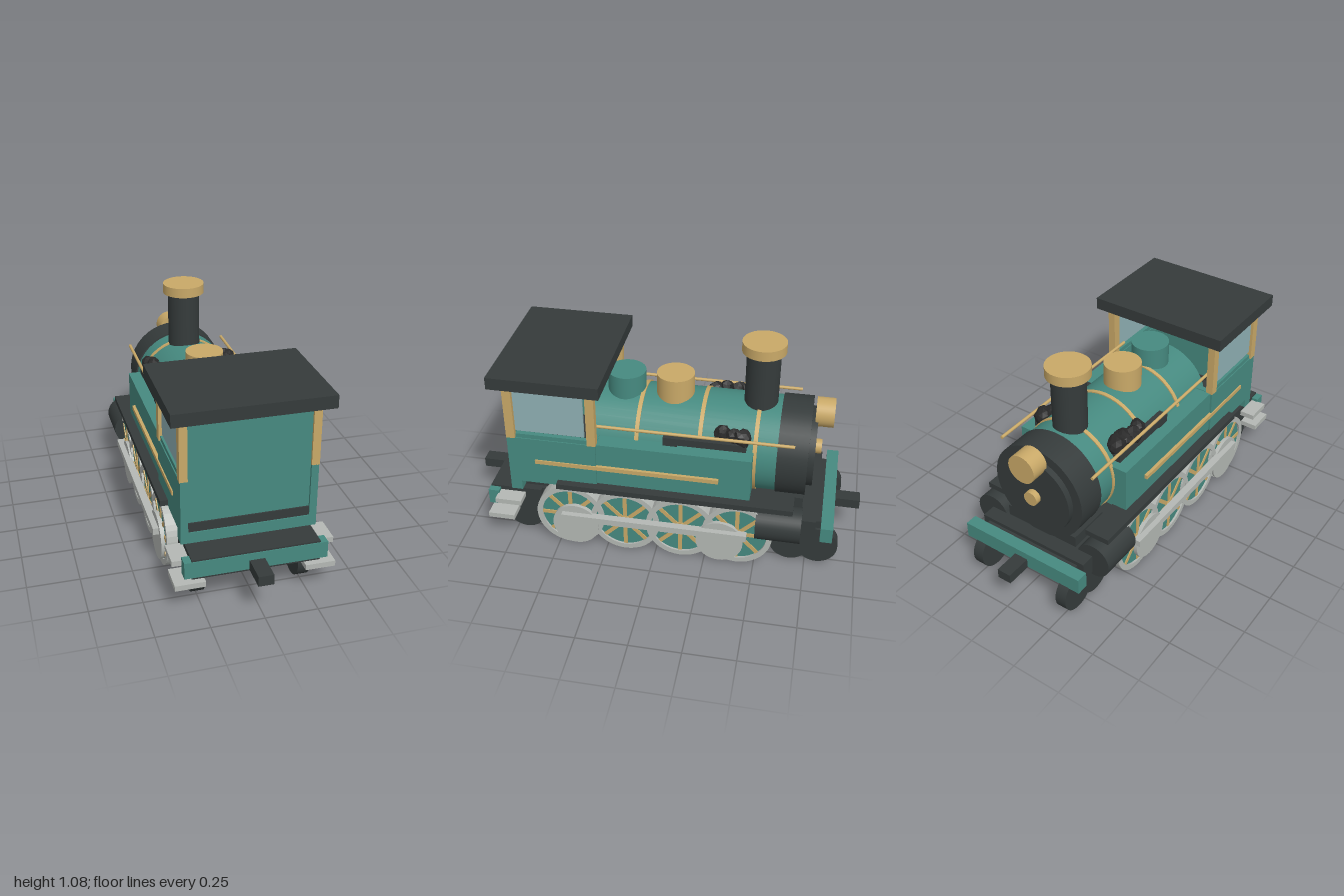
import * as THREE from 'three';

const mat = (color) => new THREE.MeshStandardMaterial({ color });

export function createModel() {
  const root = new THREE.Group();
  const teal = mat(0x468a80), dark = mat(0x353b3b), gold = mat(0xc9a968);
  const steel = mat(0xb4b8b4), glass = mat(0x8fb0b4), coal = mat(0x2a2a2a);

  function add(name, geometry, material, parent = root) {
    const mesh = new THREE.Mesh(geometry, material);
    mesh.name = name;
    parent.add(mesh);
    return mesh;
  }
  // Box given by its ranges
  function box(name, material, x0, x1, y0, y1, z0, z1, parent) {
    const m = add(name, new THREE.BoxGeometry(Math.abs(x1 - x0), y1 - y0, z1 - z0), material, parent);
    m.position.set((x0 + x1) / 2, (y0 + y1) / 2, (z0 + z1) / 2);
    return m;
  }
  // Cylinder lying along z
  function drumZ(name, material, r, x, y, z0, z1) {
    const g = new THREE.CylinderGeometry(r, r, z1 - z0, 40).rotateX(Math.PI / 2);
    const m = add(name, g, material);
    m.position.set(x, y, (z0 + z1) / 2);
    return m;
  }
  // Cylinder lying along x
  function drumX(name, material, r, x0, x1, y, z, parent) {
    const g = new THREE.CylinderGeometry(r, r, Math.abs(x1 - x0), 36).rotateZ(Math.PI / 2);
    const m = add(name, g, material, parent);
    m.position.set((x0 + x1) / 2, y, z);
    return m;
  }
  function drumY(name, material, r, y0, y1, z) {
    const m = add(name, new THREE.CylinderGeometry(r, r, y1 - y0, 40), material);
    m.position.set(0, (y0 + y1) / 2, z);
    return m;
  }

  // Underframe, end decks, buffer beams and couplers
  box('underframe', dark, -0.28, 0.28, 0.14, 0.27, -0.62, 0.62);
  box('rearDeck', dark, -0.3, 0.3, 0.17, 0.27, 0.6, 0.866);
  box('frontDeck', dark, -0.3, 0.3, 0.17, 0.27, -0.79, -0.6);
  box('frontDeckTongue', dark, -0.265, 0.265, 0.17, 0.25, -0.83, -0.78);
  box('rearBufferBeam', teal, -0.335, 0.335, 0.18, 0.262, 0.815, 0.87);
  box('frontBufferBeam', teal, -0.335, 0.335, 0.18, 0.262, -0.875, -0.815);
  box('rearCoupler', dark, -0.036, 0.036, 0.177, 0.227, 0.8, 1);
  box('frontCoupler', dark, -0.036, 0.036, 0.177, 0.227, -1, -0.8);

  // Boiler, bands and smokebox
  const by = 0.515;
  drumZ('boiler', teal, 0.242, 0, by, -0.58, 0.36);
  for (const z of [-0.465, -0.195, 0.115]) drumZ('boilerBand', gold, 0.248, 0, by, z - 0.01, z + 0.01);
  drumZ('smokebox', dark, 0.25, 0, by, -0.72, -0.572);
  drumZ('smokeboxDoor', dark, 0.2, 0, by, -0.75, -0.71);
  drumZ('doorKnob', gold, 0.037, 0, by, -0.78, -0.74);
  drumZ('headlamp', gold, 0.073, 0, 0.72, -0.825, -0.735);
  box('smokeboxSaddle', dark, -0.2, 0.2, 0.25, 0.33, -0.715, -0.5);

  // Chimney and domes
  drumY('chimney', dark, 0.083, 0.7, 1.035, -0.465);
  drumY('chimneyCap', gold, 0.107, 1.03, 1.08, -0.465);
  drumY('sandDome', gold, 0.094, 0.7, 0.863, -0.04);
  drumY('steamDome', teal, 0.095, 0.7, 0.855, 0.205);

  // Cab
  box('cabRoof', dark, -0.37, 0.37, 0.895, 0.957, 0.258, 0.803);
  box('cabBackWall', teal, -0.3, 0.3, 0.375, 0.897, 0.7, 0.735);
  box('cabBackSill', dark, -0.29, 0.29, 0.325, 0.38, 0.69, 0.742);
  box('cabFloor', dark, -0.3, 0.3, 0.33, 0.36, 0.31, 0.7);
  box('cabRearBeam', teal, -0.32, 0.32, 0.28, 0.335, 0.69, 0.747);
  box('cabFrontWall', teal, -0.3, 0.3, 0.335, 0.6, 0.3, 0.33);
  box('underCabFrame', dark, -0.26, 0.26, 0.26, 0.335, 0.3, 0.7);

  // Spoked driving wheel, built along x
  const rimProfile = [[0.148, -0.037], [0.175, -0.037], [0.175, 0.037], [0.148, 0.037], [0.148, -0.037]]
    .map(([r, h]) => new THREE.Vector2(r, h));
  function drivingWheel(side, z) {
    const wheel = new THREE.Group();
    wheel.name = 'drivingWheel';
    const rim = new THREE.LatheGeometry(rimProfile, 40).toNonIndexed();
    rim.computeVertexNormals();
    add('wheelRim', rim.rotateZ(Math.PI / 2), steel, wheel);
    drumX('wheelDisc', teal, 0.152, -0.026, 0.026, 0, 0, wheel);
    for (let i = 0; i < 4; i++) {
      const spoke = add('wheelSpokes', new THREE.BoxGeometry(0.062, 0.3, 0.02), gold, wheel);
      spoke.rotation.x = (i * Math.PI) / 4;
    }
    drumX('wheelHub', gold, 0.03, -0.034, 0.034, 0, 0, wheel);
    wheel.position.set(side * 0.315, 0.175, z);
    root.add(wheel);
  }

  // Everything that repeats on both sides
  for (const s of [1, -1]) {
    box('cabSideWall', teal, s * 0.285, s * 0.32, 0.333, 0.597, 0.3, 0.747);
    box('cabWindow', glass, s * 0.298, s * 0.31, 0.635, 0.868, 0.355, 0.7);
    box('windowSill', teal, s * 0.29, s * 0.315, 0.59, 0.62, 0.3, 0.7);
    box('rearCabPost', gold, s * 0.285, s * 0.323, 0.595, 0.897, 0.703, 0.747);
    box('frontCabPost', gold, s * 0.285, s * 0.323, 0.595, 0.897, 0.297, 0.34);

    box('sideTank', teal, s * 0.17, s * 0.31, 0.36, 0.597, -0.46, 0.3);
    box('tankStripe', gold, s * 0.305, s * 0.326, 0.455, 0.477, -0.305, 0.61);
    drumZ('handrail', gold, 0.008, s * 0.262, 0.675, -0.655, 0.35);
    box('runningBoard', dark, s * 0.23, s * 0.358, 0.337, 0.366, -0.675, 0.5);
    drumZ('steamCylinder', dark, 0.09, s * 0.303, 0.243, -0.72, -0.5);

    // Tool shelf above the tank
    box('shelf', dark, s * 0.205, s * 0.252, 0.605, 0.642, -0.425, -0.02);
    box('shelfFoot', dark, s * 0.205, s * 0.252, 0.58, 0.61, -0.09, -0.02);

    // Wheels, weights and rods
    for (const z of [0.436, 0.155, -0.127, -0.41]) drivingWheel(s, z);
    for (const z of [0.41, -0.325]) drumX('counterweight', steel, 0.118, s * 0.33, s * 0.362, 0.125, z);
    box('couplingRod', steel, s * 0.352, s * 0.39, 0.168, 0.202, -0.46, 0.475);
    for (const z of [0.7, -0.67, -0.805]) drumX('smallWheel', dark, 0.102, s * 0.222, s * 0.28, 0.108, z);

    // Steps at the rear corners
    box('lowerStep', steel, s * 0.235, s * 0.378, 0.12, 0.147, 0.73, 0.866);
    box('upperStep', steel, s * 0.3, s * 0.38, 0.22, 0.247, 0.685, 0.82);
  }

  // Coal lumps: [x, y, z, radius]
  const lumps = [
    [0.215, 0.665, -0.4, 0.045], [0.205, 0.66, -0.355, 0.04], [0.19, 0.665, -0.305, 0.04],
    [-0.205, 0.665, -0.385, 0.05], [-0.2, 0.67, -0.33, 0.045], [-0.22, 0.66, -0.27, 0.045], [-0.205, 0.66, -0.215, 0.042],
  ];
  lumps.forEach(([x, y, z, r], n) => {
    const g = new THREE.IcosahedronGeometry(r, 1);
    const p = g.attributes.position;
    for (let i = 0; i < p.count; i++) {
      const v = new THREE.Vector3().fromBufferAttribute(p, i);
      const k = 1 + 0.2 * Math.sin(v.x * 130 + n) * Math.cos(v.y * 110 + v.z * 90 + n);
      p.setXYZ(i, v.x * k, v.y * k, v.z * k);
    }
    g.computeVertexNormals();
    add('coalLump', g, coal).position.set(x, y, z);
  });

  return root;
}
